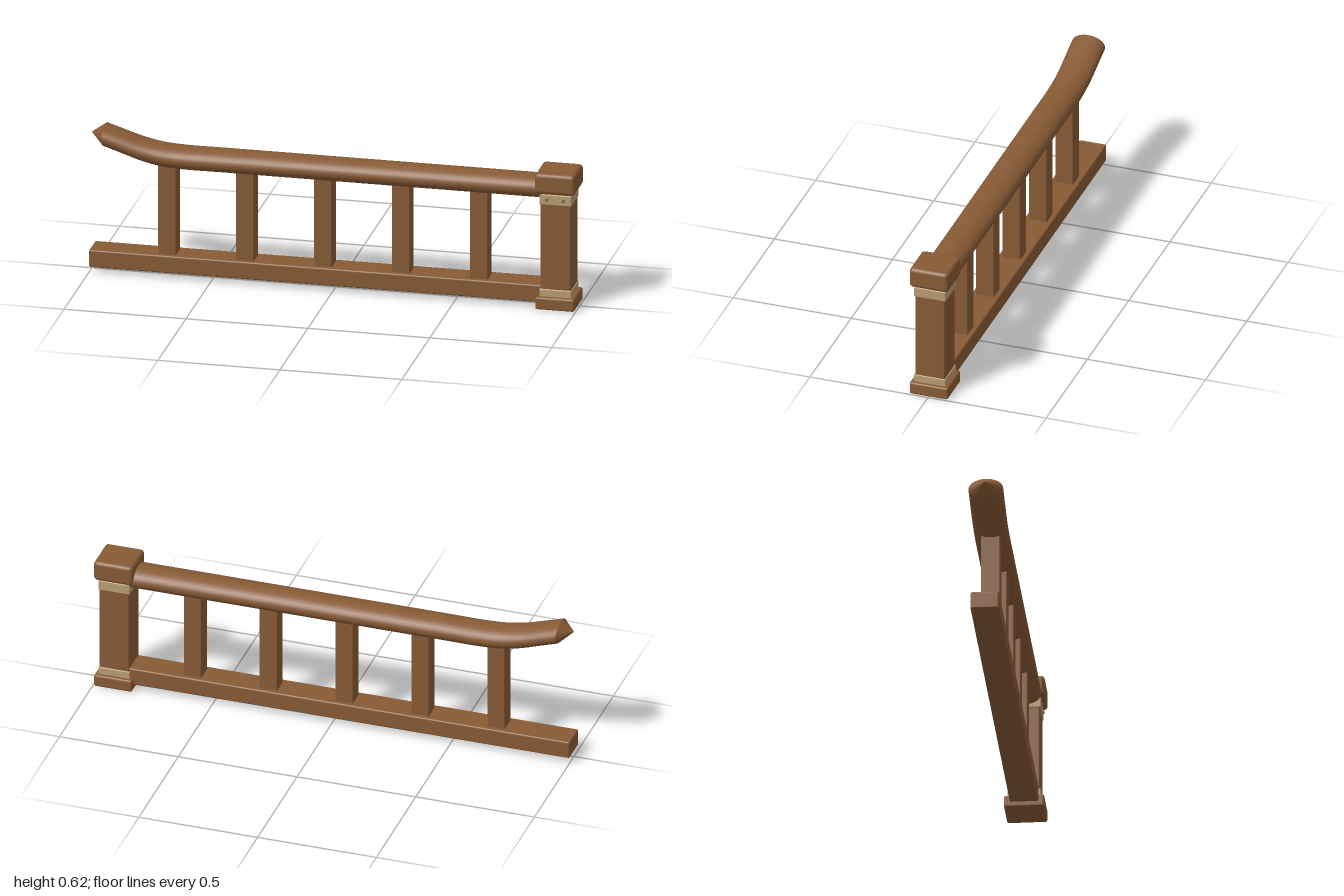
import * as THREE from 'three';
import { RoundedBoxGeometry } from 'three/addons/geometries/RoundedBoxGeometry.js';

const wood = new THREE.MeshStandardMaterial({ name: 'brown wood', color: 0x875a35 });
const trim = new THREE.MeshStandardMaterial({ name: 'tan binding', color: 0xb89d70 });
const metal = new THREE.MeshStandardMaterial({ name: 'nail metal', color: 0x75695a });

// Surface through oval rings [x, y, half height, half depth], listed from -x to +x
function loft(rings, sides = 32) {
  const pos = [], idx = [];
  for (const [x, y, h, d] of rings) {
    for (let j = 0; j <= sides; j++) {
      const a = (j / sides) * Math.PI * 2;
      pos.push(x, y + Math.cos(a) * h, Math.sin(a) * d);
    }
  }
  const n = sides + 1;
  for (let i = 0; i < rings.length - 1; i++) {
    for (let j = 0; j < sides; j++) {
      const a = i * n + j, b = a + n;
      idx.push(a, a + 1, b, a + 1, b + 1, b);
    }
  }
  const g = new THREE.BufferGeometry();
  g.setAttribute('position', new THREE.Float32BufferAttribute(pos, 3));
  g.setIndex(idx);
  g.computeVertexNormals();
  // Share one normal along the seam at the top
  const nor = g.attributes.normal, v = new THREE.Vector3(), w = new THREE.Vector3();
  for (let i = 0; i < rings.length; i++) {
    const a = i * n, b = a + sides;
    v.fromBufferAttribute(nor, a).add(w.fromBufferAttribute(nor, b)).normalize();
    nor.setXYZ(a, v.x, v.y, v.z);
    nor.setXYZ(b, v.x, v.y, v.z);
  }
  return g;
}

export function createModel() {
  const model = new THREE.Group();
  model.name = 'railing';

  const add = (parent, name, geometry, material, x = 0, y = 0, z = 0) => {
    const mesh = new THREE.Mesh(geometry, material);
    mesh.name = name;
    mesh.position.set(x, y, z);
    parent.add(mesh);
    return mesh;
  };
  // Rounded block given by its centre x, bottom, top, width and depth
  const block = (parent, name, material, x, y0, y1, w, d, r) =>
    add(parent, name, new RoundedBoxGeometry(w, y1 - y0, d, 3, r), material, x, (y0 + y1) / 2, 0);

  // Bottom beam
  block(model, 'bottomBeam', wood, -0.05, 0.022, 0.096, 1.9, 0.115, 0.007);

  // Balusters
  const balusters = new THREE.Group();
  balusters.name = 'balusters';
  model.add(balusters);
  for (let i = 0; i < 5; i++) {
    block(balusters, 'baluster', wood, -0.684 + i * 0.3195, 0.08, 0.49, 0.074, 0.076, 0.004);
  }

  // Oval handrail with an upswept end and pointed tips
  const handrail = new THREE.Group();
  handrail.name = 'handrail';
  model.add(handrail);
  const curve = new THREE.CatmullRomCurve3([
    [-0.945, 0.573], [-0.87, 0.549], [-0.79, 0.524], [-0.71, 0.508], [-0.62, 0.502],
    [-0.45, 0.502], [0.2, 0.502], [0.86, 0.502],
  ].map(([x, y]) => new THREE.Vector3(x, y, 0)));
  const rings = curve.getPoints(42).map((p) => [p.x, p.y, 0.0465 - 0.0025 * THREE.MathUtils.smoothstep(-p.x, 0.65, 0.94), 0.07]);
  const first = rings[0], last = rings[rings.length - 1];
  add(handrail, 'railBody', loft(rings), wood);
  add(handrail, 'upsweptTip', loft([[-1, 0.579, 0.0005, 0.0005], first]), wood);
  add(handrail, 'innerTip', loft([last, [0.915, 0.502, 0.0005, 0.0005]]), wood);

  // End post with base, cap and bindings
  const post = new THREE.Group();
  post.name = 'endPost';
  model.add(post);
  const px = 0.915;
  block(post, 'postShaft', wood, px, 0.03, 0.52, 0.125, 0.125, 0.006);
  block(post, 'postBase', wood, px, 0, 0.052, 0.16, 0.162, 0.008);
  block(post, 'postCap', wood, px, 0.491, 0.577, 0.165, 0.165, 0.016);
  block(post, 'lowerBinding', trim, px, 0.05, 0.084, 0.132, 0.134, 0.004);
  block(post, 'upperBinding', trim, px, 0.442, 0.486, 0.132, 0.134, 0.004);

  // Nails on the front of the upper binding
  for (const dx of [-0.034, 0.034]) {
    const nail = add(post, 'nail', new THREE.CylinderGeometry(0.007, 0.007, 0.01, 12), metal, px + dx, 0.464, 0.067);
    nail.rotation.x = Math.PI / 2;
  }

  return model;
}
